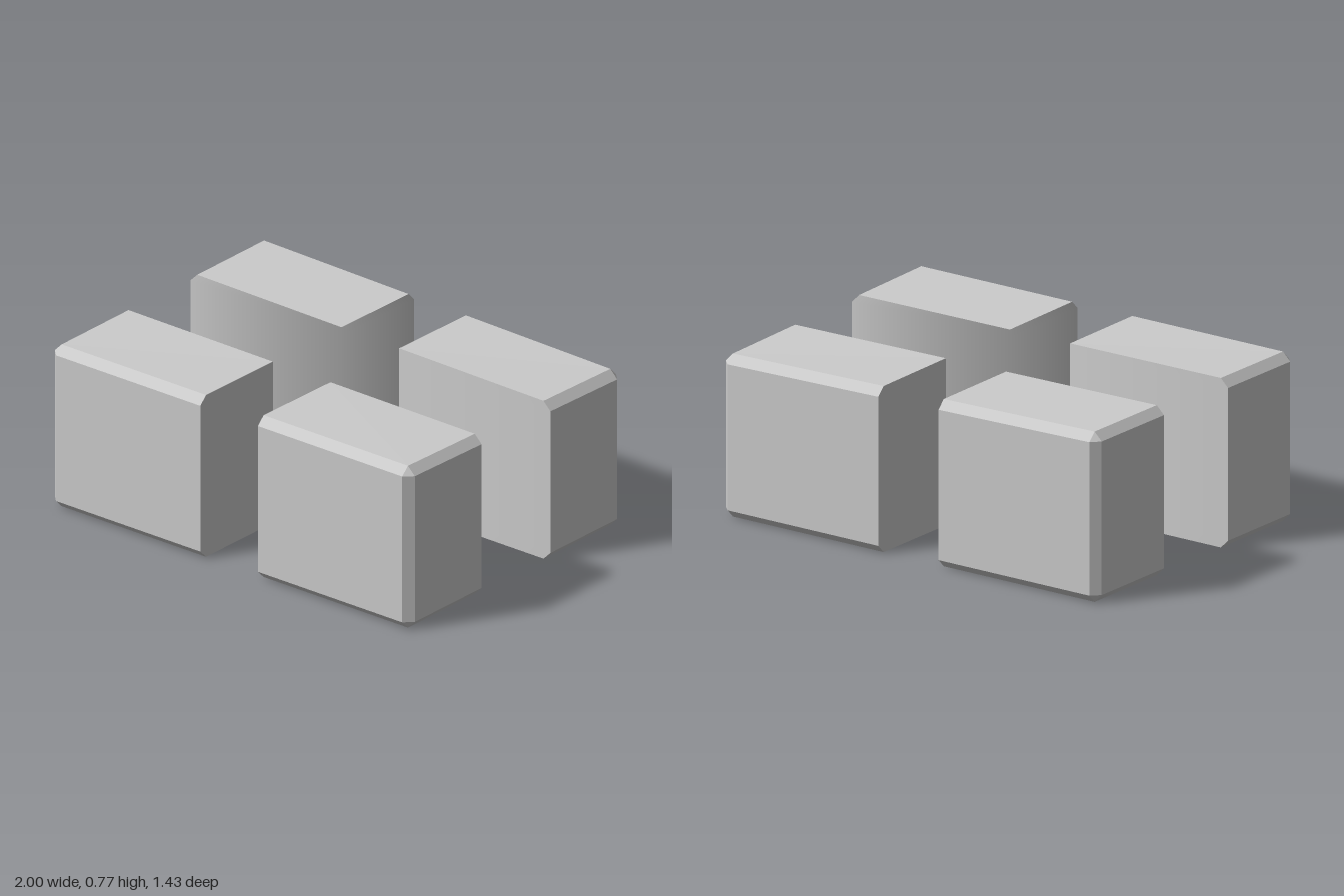
import * as THREE from 'three';

const INNER_X = 0.16, OUTER_X = 1, INNER_Z = 0.23, OUTER_Z = 0.715;
const HEIGHT = 0.763, BEVEL = 0.038;

// Plan outline of a block in the +x +z quadrant; the inset one runs round the bevelled top and bottom
function outline(inset) {
  const x = OUTER_X - inset, z = OUTER_Z - inset, c = BEVEL - inset;
  return [[INNER_X, INNER_Z], [x, INNER_Z], [x, z - c], [x - c, z], [INNER_X, z]];
}

// The tops sag slightly toward the back, more so on the +x side
function topOffset(x, z) {
  return (0.68 - z) / 1.36 * (-0.0115 - 0.0172 * x);
}

function blockGeometry(sx, sz) {
  const levels = [[0, BEVEL], [BEVEL, 0], [HEIGHT - BEVEL, 0], [HEIGHT, BEVEL]];
  const rings = levels.map(([y, inset], level) => outline(inset).map(([px, pz]) => {
    const x = px * sx, z = pz * sz;
    return new THREE.Vector3(x, level > 1 ? y + topOffset(x, z) : y, z);
  }));

  const points = [];
  const triangle = (a, b, c) => {
    if (new THREE.Triangle(a, b, c).getArea() < 1e-7) return;
    points.push(...(sx * sz > 0 ? [a, b, c] : [a, c, b]));
  };

  // Sides and bevels
  for (let r = 0; r < 3; r++) {
    const low = rings[r], high = rings[r + 1];
    for (let i = 0; i < 5; i++) {
      const j = (i + 1) % 5;
      triangle(low[i], high[i], low[j]);
      triangle(low[j], high[i], high[j]);
    }
  }
  // Bottom and top caps
  for (let i = 1; i < 4; i++) {
    triangle(rings[0][0], rings[0][i], rings[0][i + 1]);
    triangle(rings[3][0], rings[3][i + 1], rings[3][i]);
  }

  const geometry = new THREE.BufferGeometry().setFromPoints(points);
  geometry.computeVertexNormals();

  // Soft shading across the inner vertical corner only
  const normal = geometry.attributes.normal;
  points.forEach((p, i) => {
    const atCorner = Math.abs(p.x) < INNER_X + 0.001 && Math.abs(p.z) < INNER_Z + 0.001;
    if (atCorner && Math.abs(normal.getY(i)) < 0.5) {
      normal.setXYZ(i, -sx * Math.SQRT1_2, 0, -sz * Math.SQRT1_2);
    }
  });
  return geometry;
}

export function createModel() {
  const model = new THREE.Group();
  model.name = 'cornerBlocks';
  const material = new THREE.MeshStandardMaterial({ color: 0xcccccc });

  // One block in each corner
  for (const sx of [-1, 1]) {
    for (const sz of [-1, 1]) {
      const block = new THREE.Mesh(blockGeometry(sx, sz), material);
      block.name = (sz > 0 ? 'front' : 'back') + (sx > 0 ? 'Left' : 'Right') + 'Block';
      model.add(block);
    }
  }
  return model;
}
